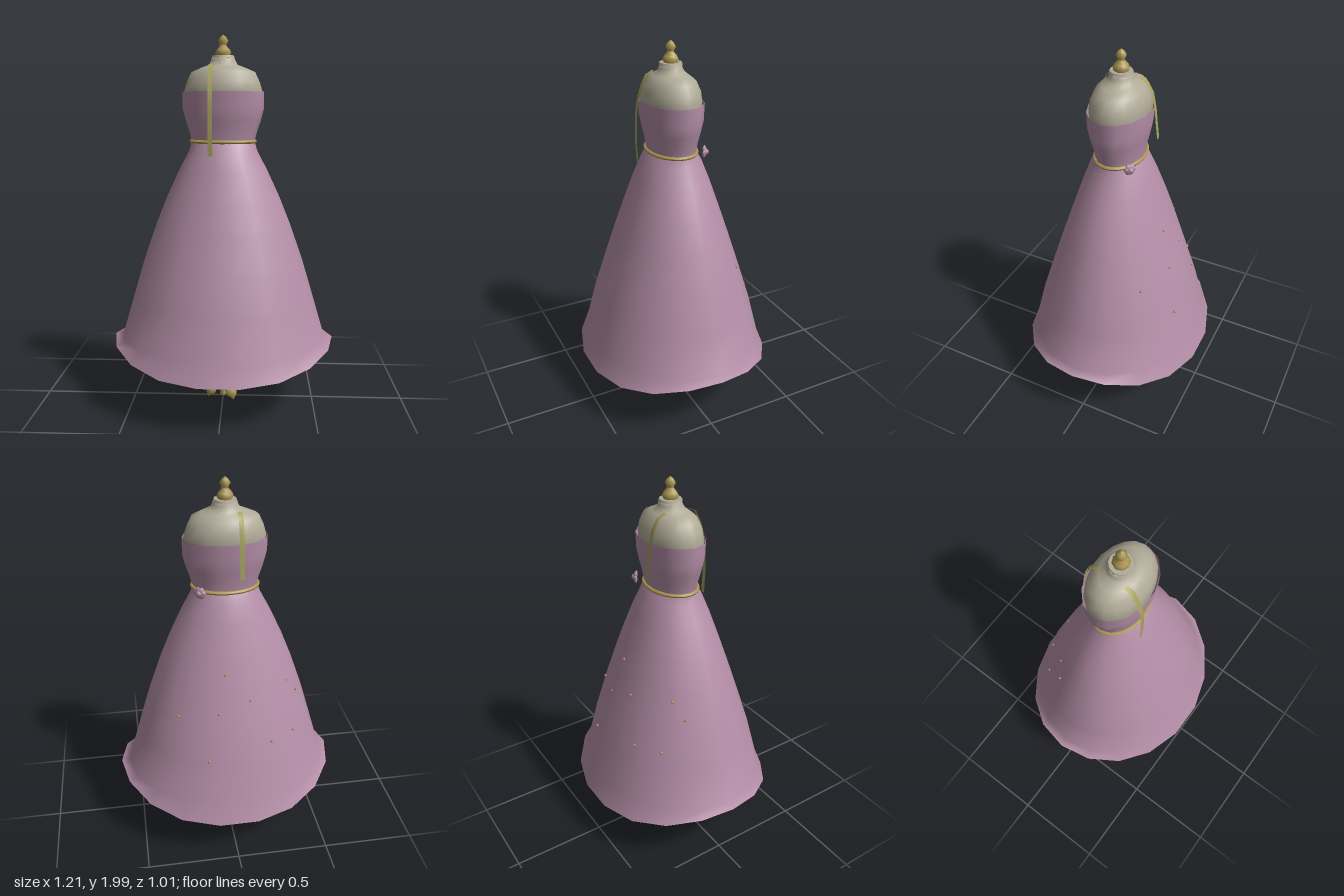
import * as THREE from 'three';

const mat = (name, color, side = THREE.FrontSide) => {
  const m = new THREE.MeshStandardMaterial({ color, side });
  m.name = name;
  return m;
};

// Elliptical rings [y, rx, rz] listed from bottom to top, joined into a smooth shell.
function loft(rings, sides, height = (y) => y, caps = false) {
  const pos = [], idx = [];
  rings.forEach(([y, rx, rz], i) => {
    for (let j = 0; j < sides; j++) {
      const a = (j / sides) * Math.PI * 2;
      pos.push(rx * Math.cos(a), height(y, i, a), rz * Math.sin(a));
      if (i === rings.length - 1) continue;
      const p = i * sides + j, q = i * sides + ((j + 1) % sides);
      idx.push(p, p + sides, q, q, p + sides, q + sides);
    }
  });
  if (caps) {
    const top = (rings.length - 1) * sides;
    for (let j = 1; j < sides - 1; j++) {
      idx.push(0, j, j + 1, top, top + j + 1, top + j);
    }
  }
  const g = new THREE.BufferGeometry();
  g.setAttribute('position', new THREE.Float32BufferAttribute(pos, 3));
  g.setIndex(idx);
  g.computeVertexNormals();
  return g;
}

// Tube whose thickness follows a list of radii.
function taperedTube(points, radii, steps, sides) {
  const curve = new THREE.CatmullRomCurve3(points);
  const g = new THREE.TubeGeometry(curve, steps, 1, sides);
  const p = g.attributes.position, v = new THREE.Vector3();
  for (let i = 0; i <= steps; i++) {
    const c = curve.getPointAt(i / steps);
    const t = (i / steps) * (radii.length - 1), k = Math.min(Math.floor(t), radii.length - 2);
    const r = THREE.MathUtils.lerp(radii[k], radii[k + 1], t - k);
    for (let j = 0; j <= sides; j++) {
      const n = i * (sides + 1) + j;
      v.fromBufferAttribute(p, n).sub(c).multiplyScalar(r).add(c);
      p.setXYZ(n, v.x, v.y, v.z);
    }
  }
  g.computeVertexNormals();
  return g;
}

// Flat ribbon following [y, z] points, with its width along x.
function ribbon(points, x, width) {
  const pos = [], idx = [];
  points.forEach(([y, z], i) => {
    pos.push(x - width / 2, y, z, x + width / 2, y, z);
    if (i) idx.push(2 * i - 2, 2 * i, 2 * i - 1, 2 * i - 1, 2 * i, 2 * i + 1);
  });
  const g = new THREE.BufferGeometry();
  g.setAttribute('position', new THREE.Float32BufferAttribute(pos, 3));
  g.setIndex(idx);
  g.computeVertexNormals();
  return g;
}

export function createModel() {
  const model = new THREE.Group();
  const pink = mat('dress pink', 0xb58fa8, THREE.DoubleSide);
  const cream = mat('mannequin cream', 0xb0aa97);
  const gold = mat('gold', 0xab9650);
  const strapColor = mat('ribbon olive', 0xa3a05c, THREE.DoubleSide);
  const add = (name, geometry, material, parent = model) => {
    const m = new THREE.Mesh(geometry, material);
    m.name = name;
    parent.add(m);
    return m;
  };

  // Skirt: the hem rises and flares at the sides
  const skirtRings = [
    [0.265, 0.605, 0.515], [0.38, 0.56, 0.475], [0.6, 0.495, 0.42], [0.8, 0.435, 0.355],
    [1.0, 0.365, 0.29], [1.15, 0.305, 0.24], [1.3, 0.235, 0.19], [1.4, 0.182, 0.152], [1.45, 0.168, 0.12],
  ];
  add('skirt', loft(skirtRings, 18,
    (y, i, a) => (i === 0 ? y + 0.105 * Math.abs(Math.cos(a)) ** 3 : y)), pink);

  // Bodice, open at the top
  add('bodice', loft([
    [1.44, 0.166, 0.118], [1.5, 0.18, 0.125], [1.56, 0.2, 0.138], [1.62, 0.215, 0.15], [1.71, 0.215, 0.155],
  ], 14), pink);

  // Mannequin torso, shoulders and neck
  add('torso', loft([
    [1.42, 0.14, 0.1], [1.52, 0.165, 0.112], [1.62, 0.2, 0.137], [1.71, 0.207, 0.143], [1.76, 0.192, 0.138],
    [1.81, 0.168, 0.115], [1.832, 0.118, 0.088], [1.848, 0.075, 0.068], [1.87, 0.064, 0.058],
    [1.888, 0.058, 0.052],
  ], 18, undefined, true), cream);
  add('neckCap', new THREE.CylinderGeometry(0.056, 0.06, 0.012, 12), cream).position.y = 1.889;

  // Turned finial on the neck
  const finial = [[0.036, 1.893], [0.042, 1.91], [0.034, 1.925], [0.018, 1.943], [0.018, 1.952],
    [0.027, 1.97], [0.016, 1.988], [0.001, 2.0]];
  add('finial', new THREE.LatheGeometry(finial.map(([r, y]) => new THREE.Vector2(r, y)), 8), gold);

  // Waist cord
  const belt = new THREE.TorusGeometry(1, 0.01, 8, 28);
  const bp = belt.attributes.position;
  for (let i = 0; i < bp.count; i++) {
    const x = bp.getX(i), y = bp.getY(i), r = Math.hypot(x, y), off = r - 1;
    bp.setXYZ(i, (x / r) * (0.17 + off), bp.getZ(i), (-y / r) * (0.122 + off));
  }
  belt.computeVertexNormals();
  add('waistCord', belt, gold).position.y = 1.45;

  // Hanging ribbons, front and back
  add('frontRibbon', ribbon([[1.848, 0.068], [1.83, 0.105], [1.77, 0.135], [1.69, 0.158],
    [1.62, 0.165], [1.5, 0.168], [1.38, 0.162]], -0.06, 0.024), strapColor);
  add('backRibbon', ribbon([[1.848, -0.072], [1.83, -0.108], [1.78, -0.138],
    [1.7, -0.155], [1.62, -0.164], [1.54, -0.174]], -0.06, 0.024), strapColor);

  // Fabric flower at the back of the waist
  const flower = new THREE.Group();
  flower.name = 'flower';
  flower.position.set(0.14, 1.46, -0.112);
  flower.rotation.y = Math.PI - 0.65;
  model.add(flower);
  add('flowerBud', new THREE.IcosahedronGeometry(0.015, 1), pink, flower).position.z = 0.016;
  for (let i = 0; i < 6; i++) {
    const a = (i / 6) * Math.PI * 2;
    const petal = add('petal', new THREE.SphereGeometry(0.015, 6, 5), pink, flower);
    petal.scale.set(1, 1, 0.5);
    petal.position.set(Math.cos(a) * 0.019, Math.sin(a) * 0.019, 0.01);
    petal.rotation.set(-Math.sin(a) * 0.5, Math.cos(a) * 0.5, 0);
  }

  // Beads on the skirt back, each dropped to the skirt surface
  const beads = [[-0.365, -0.15], [-0.3, -0.185], [-0.33, -0.275], [-0.195, -0.355], [-0.085, -0.305],
    [0.04, -0.265], [0.08, -0.325], [0.145, -0.395], [0.285, -0.255]];
  const beadGeometry = new THREE.SphereGeometry(0.008, 8, 6);
  for (const [x, z] of beads) {
    const reach = ([, rx, rz]) => Math.hypot(x / rx, z / rz);
    const k = skirtRings.findIndex((r) => reach(r) > 1);
    const lo = skirtRings[k - 1], hi = skirtRings[k];
    const t = (1 - reach(lo)) / (reach(hi) - reach(lo));
    add('bead', beadGeometry, gold).position.set(x, THREE.MathUtils.lerp(lo[0], hi[0], t), z);
  }

  // Stand: pole and three curved legs
  const pole = add('pole', new THREE.CylinderGeometry(0.019, 0.019, 1.41, 10), gold);
  pole.position.y = 0.725;
  const legPath = [[0.056, 0.278], [0.044, 0.268], [0.032, 0.225], [0.03, 0.17], [0.042, 0.105],
    [0.066, 0.055], [0.08, 0.028], [0.086, 0.012]];
  const legGeometry = taperedTube(legPath.map(([r, y]) => new THREE.Vector3(r, y, 0)),
    [0.002, 0.023, 0.019, 0.017, 0.016, 0.017, 0.02, 0.028, 0.03, 0.002], 18, 8);
  for (let i = 0; i < 3; i++) {
    add('standLeg', legGeometry, gold).rotation.y = -(Math.PI / 4 + (i * Math.PI * 2) / 3);
  }
  return model;
}
